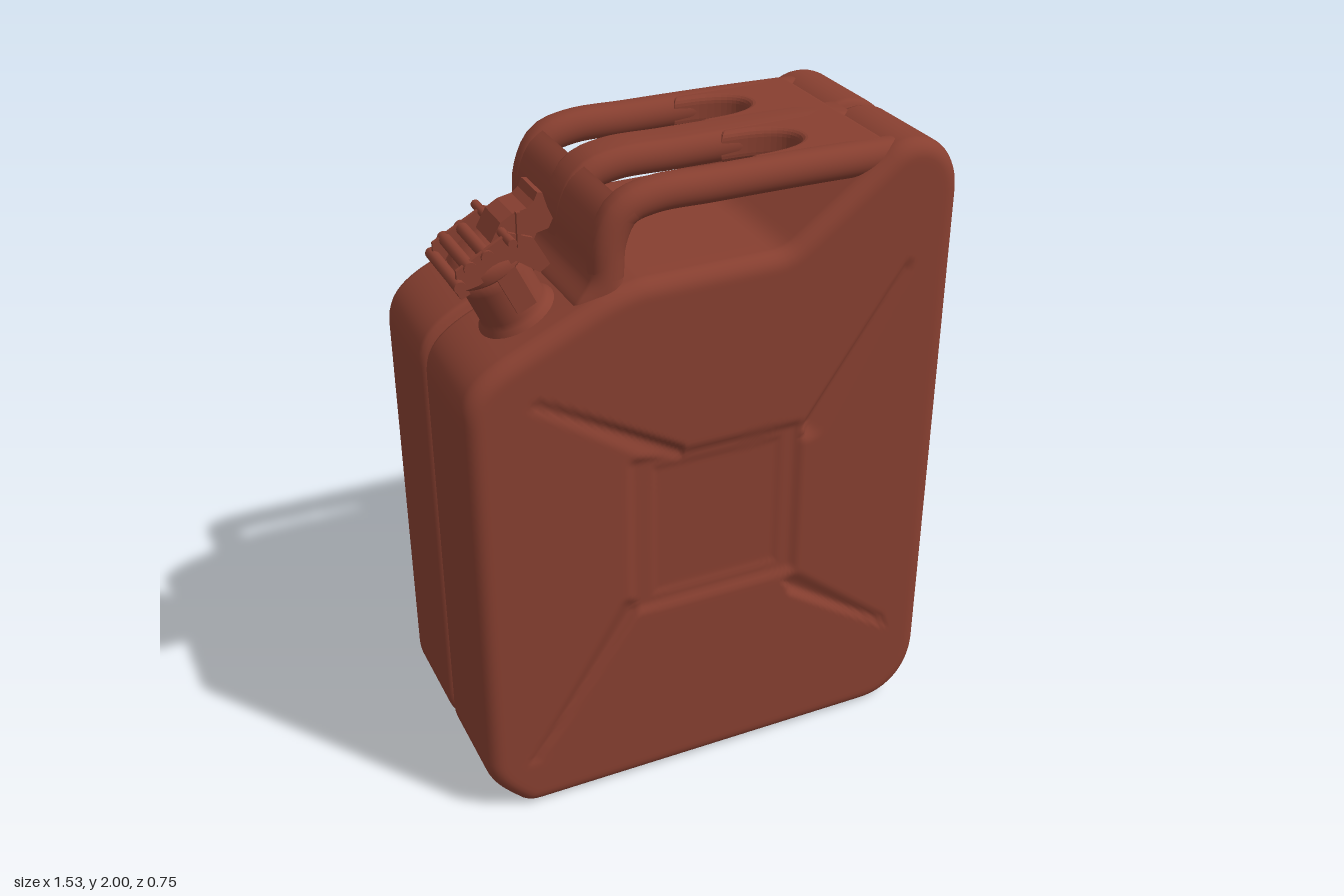
import * as THREE from 'three';

const V2 = (x, y) => new THREE.Vector2(x, y);
const smooth = (a, b, v) => THREE.MathUtils.smoothstep(v, a, b);

// Skin a list of closed rings (arrays of Vector3, equal length)
function skin(rings) {
  const n = rings[0].length, pos = [], idx = [];
  rings.forEach(r => r.forEach(p => pos.push(p.x, p.y, p.z)));
  for (let j = 0; j < rings.length - 1; j++) for (let i = 0; i < n; i++) {
    const a = j * n + i, b = j * n + (i + 1) % n;
    idx.push(a, b, b + n, a, b + n, a + n);
  }
  const g = new THREE.BufferGeometry();
  g.setAttribute('position', new THREE.Float32BufferAttribute(pos, 3));
  g.setIndex(idx);
  g.computeVertexNormals();
  return g;
}

// Side profile of the can, counter-clockwise
function canOutline() {
  const s = new THREE.Shape();
  s.moveTo(-0.6, 0);
  s.lineTo(0.56, 0);
  s.bezierCurveTo(0.68, 0, 0.76, 0.09, 0.76, 0.22);
  s.lineTo(0.766, 1.82);
  s.bezierCurveTo(0.766, 1.93, 0.7, 2, 0.61, 2);
  s.quadraticCurveTo(0.56, 2, 0.52, 1.965);
  s.lineTo(0.24, 1.758);
  s.quadraticCurveTo(0.21, 1.735, 0.17, 1.735);
  s.lineTo(-0.23, 1.73);
  s.quadraticCurveTo(-0.32, 1.72, -0.4, 1.68);
  s.lineTo(-0.64, 1.57);
  s.bezierCurveTo(-0.73, 1.525, -0.767, 1.48, -0.767, 1.4);
  s.lineTo(-0.767, 0.2);
  s.bezierCurveTo(-0.767, 0.12, -0.7, 0.06, -0.66, 0.02);
  s.quadraticCurveTo(-0.64, 0, -0.6, 0);
  return s.getSpacedPoints(300).slice(0, -1);
}

// Pressed relief of the large faces: tapering diagonal creases, steep on the
// side of the top and bottom fields, around a sunken middle panel
const creases = [
  [V2(-0.13, 1.17), V2(-0.56, 1.43)], [V2(0.3, 1.16), V2(0.6, 1.62)],
  [V2(-0.28, 0.65), V2(-0.61, 0.18)], [V2(0.27, 0.57), V2(0.61, 0.33)],
];
function relief(x, y) {
  let d = 0;
  for (const [a, b] of creases) {
    const ab = b.clone().sub(a), p = V2(x, y).sub(a);
    const t = THREE.MathUtils.clamp(p.dot(ab) / ab.lengthSq(), 0, 1);
    const steep = ab.cross(p) * ab.x * ab.y > 0;
    const width = (steep ? 0.03 : 0.065) * (1 - 0.6 * t);
    const dist = p.sub(ab.multiplyScalar(t)).length();
    d = Math.max(d, 0.02 * (1 - 0.45 * t) * (1 - smooth(0, width, dist)));
  }
  const box = (x0, x1, y0, y1, e) => smooth(x0 - e, x0, x) * (1 - smooth(x1, x1 + e, x)) *
    smooth(y0 - e, y0, y) * (1 - smooth(y1, y1 + e, y));
  return Math.max(d, 0.012 * box(-0.265, 0.25, 0.66, 1.155, 0.035) + 0.005 * box(-0.195, 0.195, 0.7, 1.12, 0.02));
}

function canGeometry() {
  const pts = canOutline(), n = pts.length;
  const normals = pts.map((p, i) => {
    const t = pts[(i + 1) % n].clone().sub(pts[(i + n - 1) % n]).normalize();
    return V2(t.y, -t.x);
  });
  const inset = (d) => pts.map((p, i) => p.clone().addScaledVector(normals[i], -d));
  const half = [];
  // centre seam, left out under the handles
  for (const [z, d] of [[0, 0.04], [0.009, 0.037], [0.017, 0.016], [0.026, 0.004], [0.04, 0]])
    half.push(pts.map((p, i) => {
      const under = p.y > 1.6 ? smooth(-0.4, -0.34, p.x) * (1 - smooth(0.52, 0.57, p.x)) : 0;
      const q = p.clone().addScaledVector(normals[i], -d * (1 - under));
      return new THREE.Vector3(q.x, q.y, z);
    }));
  // rounded rim
  const R = 0.05, Z = 0.373;
  for (let k = 0; k <= 6; k++) {
    const a = k / 6 * Math.PI / 2;
    half.push(inset(R * (1 - Math.cos(a))).map(p => new THREE.Vector3(p.x, p.y, Z - R + R * Math.sin(a))));
  }
  // face rings shrinking to the middle
  const rim = inset(R), cy = 0.9, M = 66;
  for (let k = 1; k <= M; k++) {
    const s = 1 - k / M;
    half.push(rim.map(p => {
      const x = p.x * s, y = cy + (p.y - cy) * s;
      return new THREE.Vector3(x, y, Z - relief(x, y));
    }));
  }
  const back = half.slice(1).reverse().map(r => r.map(p => new THREE.Vector3(p.x, p.y, -p.z)));
  return skin([...back, ...half]);
}

// Rounded bar swept along a path in the xy plane; width runs along z
function sweep(path, width, thick, flare = 0) {
  const curve = new THREE.CatmullRomCurve3(path.map(([x, y]) => new THREE.Vector3(x, y, 0)), false, 'centripetal');
  const rings = [], N = 40, S = 28, c = Math.min(0.045, width / 2);
  for (let j = 0; j <= N; j++) {
    const u = j / N, p = curve.getPointAt(u), t = curve.getTangentAt(u);
    const h = thick / 2 + flare * smooth(0.55, 1, u) ** 2, ring = [];
    for (let i = 0; i < S; i++) {
      const a = i / S * Math.PI * 2, w = Math.cos(a), e = h * Math.sin(a);
      const z = Math.sign(Math.round(w * 1e6)) * (width / 2 - c) + c * w;
      ring.push(new THREE.Vector3(p.x + t.y * e, p.y - t.x * e, z));
    }
    rings.push(ring);
  }
  return skin(rings);
}

export function createModel() {
  const model = new THREE.Group();
  const paint = new THREE.MeshStandardMaterial({ color: 0x873f30 });
  paint.name = 'rust red paint';
  const add = (parent, name, geo, x = 0, y = 0, z = 0) => {
    const m = new THREE.Mesh(geo, paint);
    m.name = name;
    m.position.set(x, y, z);
    parent.add(m);
    return m;
  };

  add(model, 'canBody', canGeometry());

  // Three carrying bars joined by a post on one end and a web on the other
  const handles = new THREE.Group();
  handles.name = 'handles';
  model.add(handles);
  const bar = [[0.57, 1.945], [0.3, 1.949], [0, 1.949], [-0.18, 1.947], [-0.265, 1.92], [-0.308, 1.84], [-0.318, 1.74]];
  for (const [z, w] of [[-0.292, 0.1], [0, 0.155], [0.292, 0.1]])
    add(handles, 'handleBar', sweep(bar, w, 0.1), 0, 0, z);
  add(handles, 'handlePost', sweep([[-0.25, 1.925], [-0.282, 1.9], [-0.31, 1.84], [-0.32, 1.76], [-0.33, 1.65]], 0.684, 0.09, 0.05));

  // Web with a rounded cut-out between each pair of bars
  const web = new THREE.Shape();
  web.moveTo(0.16, -0.29);
  web.lineTo(0.53, -0.29);
  web.lineTo(0.53, 0.29);
  web.lineTo(0.16, 0.29);
  for (const z of [0.16, -0.16]) {
    web.lineTo(0.16, z + 0.105);
    web.bezierCurveTo(0.3, z + 0.105, 0.36, z + 0.06, 0.36, z);
    web.bezierCurveTo(0.36, z - 0.06, 0.3, z - 0.105, 0.16, z - 0.105);
  }
  web.closePath();
  const webGeo = new THREE.ExtrudeGeometry(web, { depth: 0.045, bevelThickness: 0.024, bevelSize: 0.02, bevelSegments: 4, curveSegments: 12 });
  webGeo.rotateX(Math.PI / 2);
  add(handles, 'handleWeb', webGeo, 0, 1.972, 0);

  // Tilted filler neck with hinged cap and locking lever
  const spout = new THREE.Group();
  spout.name = 'spout';
  spout.position.set(-0.535, 1.62, 0.165);
  spout.rotation.z = 0.445;
  model.add(spout);
  const neck = [[0.125, -0.03], [0.115, 0.0], [0.103, 0.012], [0.098, 0.03], [0.096, 0.13], [0.096, 0.175], [0, 0.175]];
  add(spout, 'neck', new THREE.LatheGeometry(neck.map(p => V2(...p)), 36));
  const cap = [[0, 0.17], [0.108, 0.17], [0.115, 0.178], [0.115, 0.205], [0.105, 0.217], [0.08, 0.226], [0.06, 0.245], [0, 0.25]];
  add(spout, 'cap', new THREE.LatheGeometry(cap.map(p => V2(...p)), 36));

  const rod = (name, x, y, r, len) =>
    add(spout, name, new THREE.CylinderGeometry(r, r, len, 12).rotateX(Math.PI / 2), x, y, 0);
  rod('hingePin', -0.105, 0.225, 0.017, 0.25);
  rod('lockPin', 0.07, 0.262, 0.013, 0.3);
  rod('lowerPin', 0.12, 0.135, 0.016, 0.17);
  for (const x of [-0.055, 0]) rod('capRib', x, 0.25, 0.018, 0.23);
  add(spout, 'pinTab', new THREE.BoxGeometry(0.012, 0.1, 0.012), 0.105, 0.275, 0.125).rotation.z = -0.445;

  // Side brackets and lugs
  const plate = (points, depth) => new THREE.ExtrudeGeometry(new THREE.Shape(points.map(p => V2(...p))), { depth, bevelEnabled: false });
  const bracket = [[-0.12, 0.205], [-0.06, 0.19], [0.06, 0.19], [0.1, 0.12], [0.135, 0.125], [0.13, 0.22], [0.08, 0.272], [-0.09, 0.262]];
  for (const z of [-0.106, 0.094]) {
    add(spout, 'sideBracket', plate(bracket, 0.012), 0, 0, z);
    add(spout, 'neckLug', new THREE.BoxGeometry(0.06, 0.13, 0.02), 0.02, 0.115, z + 0.006);
  }
  add(spout, 'hingeLug', new THREE.BoxGeometry(0.03, 0.07, 0.1), -0.1, 0.185, 0);

  // Curved thumb lever
  const lever = [[0.03, 0.25], [0.08, 0.285], [0.12, 0.288], [0.16, 0.278], [0.185, 0.284], [0.205, 0.3], [0.217, 0.292],
    [0.21, 0.25], [0.208, 0.21], [0.185, 0.192], [0.15, 0.2], [0.12, 0.175], [0.08, 0.19]];
  add(spout, 'lever', plate(lever, 0.12), 0, 0, -0.06);

  return model;
}
